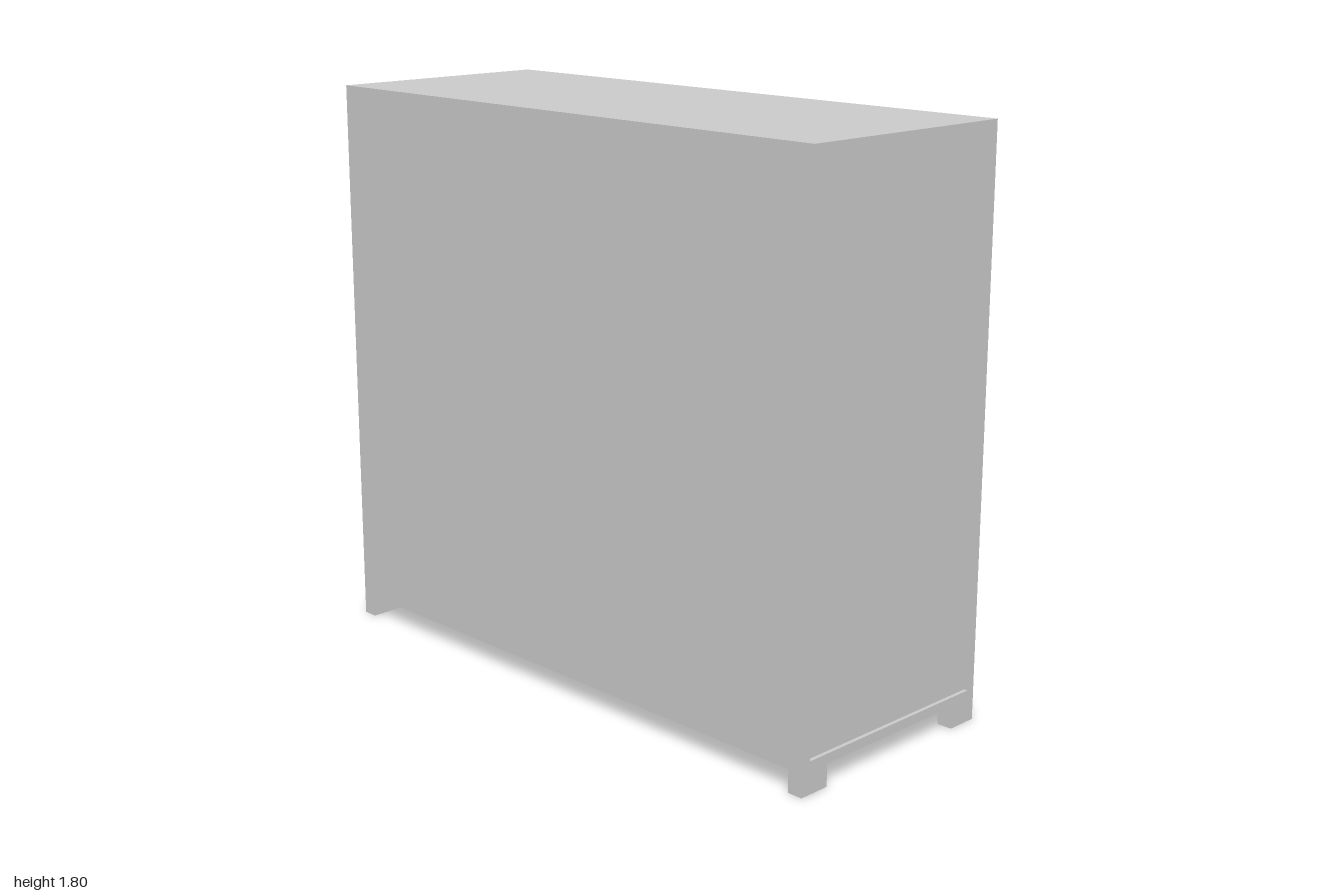
import * as THREE from 'three';

const grey = new THREE.MeshStandardMaterial({ color: 0xcccccc });
grey.name = 'lightGrey';

function mesh(name, geometry, parent) {
  const m = new THREE.Mesh(geometry, grey);
  m.name = name;
  parent.add(m);
  return m;
}

function box(name, parent, x0, x1, y0, y1, z0, z1) {
  const m = mesh(name, new THREE.BoxGeometry(x1 - x0, y1 - y0, z1 - z0), parent);
  m.position.set((x0 + x1) / 2, (y0 + y1) / 2, (z0 + z1) / 2);
  return m;
}

// Rectangular board with rectangular openings, extruded from z0 to z1
function board(name, parent, [x0, x1, y0, y1], openings, z0, z1) {
  const corners = (a, b, c, d) => [[a, c], [b, c], [b, d], [a, d]].map(p => new THREE.Vector2(...p));
  const shape = new THREE.Shape(corners(x0, x1, y0, y1));
  for (const o of openings) shape.holes.push(new THREE.Path(corners(...o).reverse()));
  const m = mesh(name, new THREE.ExtrudeGeometry(shape, { depth: z1 - z0, bevelEnabled: false }), parent);
  m.position.z = z0;
  return m;
}

// Moulded panel: each step is [inset, z], joined from the outside in and capped
function moulded(name, parent, [x0, x1, y0, y1], steps) {
  const rings = steps.map(([i, z]) => {
    const [l, r, b, t] = Array.isArray(i) ? i : [x0 + i, x1 - i, y0 + i, y1 - i];
    return [[l, b, z], [r, b, z], [r, t, z], [l, t, z]];
  });
  const pos = [];
  const quad = (a, b, c, d) => pos.push(...a, ...b, ...c, ...a, ...c, ...d);
  for (let k = 0; k + 1 < rings.length; k++) {
    for (let j = 0; j < 4; j++) {
      const n = (j + 1) % 4;
      quad(rings[k][j], rings[k][n], rings[k + 1][n], rings[k + 1][j]);
    }
  }
  quad(...rings[rings.length - 1]);
  const g = new THREE.BufferGeometry();
  g.setAttribute('position', new THREE.Float32BufferAttribute(pos, 3));
  g.computeVertexNormals();
  return mesh(name, g, parent);
}

// Bar pull standing on two posts
function pull(name, parent, cx, cy, length, width, vertical) {
  const g = new THREE.Group();
  g.name = name;
  const h = length / 2, w = width / 2, t = 0.01;
  box('pullBar', g, -h, h, -w, w, 0.384, 0.394);
  for (const s of [-1, 1]) {
    const c = s * (h - t / 2);
    box('pullPost', g, c - t / 2, c + t / 2, -w, w, 0.355, 0.384);
  }
  g.position.set(cx, cy, 0);
  if (vertical) g.rotation.z = Math.PI / 2;
  parent.add(g);
}

export function createModel() {
  const model = new THREE.Group();
  model.name = 'cabinet';

  // Carcass with a framed end panel
  box('carcass', model, -0.4, 0.343, 0.07, 1.8, -1, 0.988);
  board('endFrame', model, [-0.4, 0.368, 0.07, 1.8], [[-0.367, 0.34, 0.1, 1.772]], 0.988, 1);

  // Feet
  for (const [x0, x1] of [[-0.4, -0.295], [0.265, 0.368]])
    for (const [z0, z1] of [[-1, -0.95], [0.95, 1]])
      box('foot', model, x0, x1, 0, 0.07, z0, z1);

  // Door and drawer side, built facing +z and turned to face +x
  const face = new THREE.Group();
  face.name = 'doorSide';
  face.rotation.y = Math.PI / 2;
  model.add(face);
  board('faceFrame', face, [-0.988, 1, 0.07, 1.8],
    [[-0.948, 0.948, 0.44, 1.75], [-0.948, 0.948, 0.12, 0.39]], 0.343, 0.368);

  for (const s of [-1, 1]) {
    const span = (a, b) => (s > 0 ? [a, b] : [-b, -a]);

    // Door: lip, raised frame and sunken bevelled panel
    moulded('door', face, [...span(0.002, 0.938), 0.445, 1.746], [
      [0, 0.343], [0, 0.358],
      [[...span(0.004, 0.922), 0.46, 1.73], 0.358],
      [[...span(0.004, 0.922), 0.46, 1.73], 0.364],
      [[...span(0.054, 0.868), 0.54, 1.655], 0.364],
      [[...span(0.058, 0.864), 0.544, 1.651], 0.356],
      [[...span(0.068, 0.854), 0.554, 1.641], 0.351],
    ]);
    pull('doorPull', face, s * 0.03, 1.097, 0.145, 0.028, true);

    // Hinges
    for (const y of [0.705, 1.525]) {
      box('hingeLeaf', face, ...span(0.927, 0.937), y - 0.065, y + 0.065, 0.35, 0.367);
      box('hingeKnuckle', face, ...span(0.919, 0.928), y - 0.014, y + 0.014, 0.35, 0.367);
    }

    // Drawer: outer frame and raised, bevelled field
    const fields = [[0.026, 0.918, 0.143, 0.37], [0.05, 0.894, 0.168, 0.346]];
    const field = k => [...span(fields[k][0], fields[k][1]), fields[k][2], fields[k][3]];
    moulded('drawer', face, [...span(0.006, 0.942), 0.125, 0.385], [
      [0, 0.343], [0, 0.36], [0.01, 0.364],
      [field(0), 0.364], [field(0), 0.352],
      [field(1), 0.358], [field(1), 0.364],
    ]);
    pull('drawerPull', face, s * 0.475, 0.257, 0.145, 0.022, false);
  }
  return model;
}
